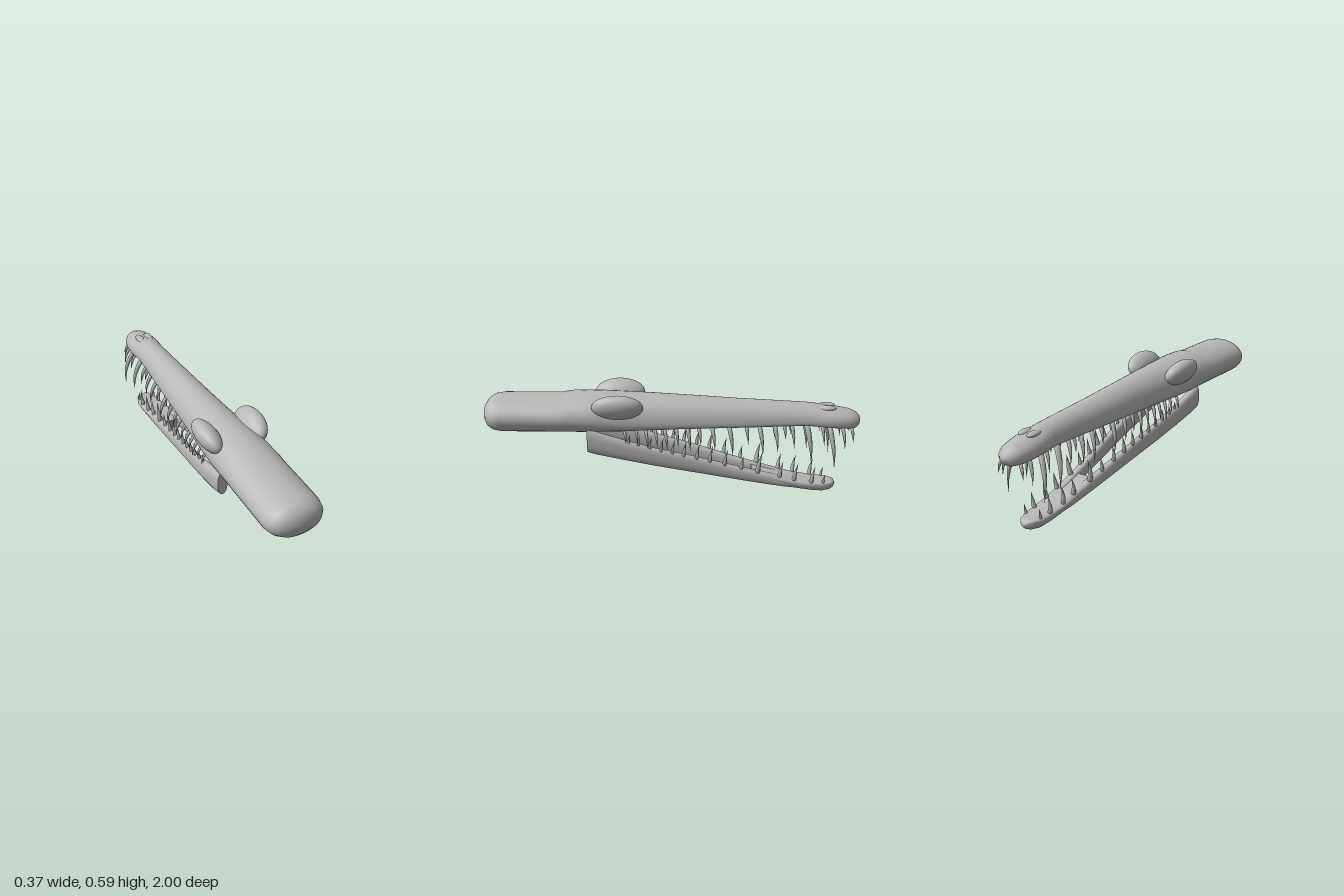
import * as THREE from 'three';
import { mergeVertices } from 'three/addons/utils/BufferGeometryUtils.js';

const bone = new THREE.MeshStandardMaterial({ color: 0xb8b8b8 });
bone.name = 'boneGrey';
const SIDES = 32;

// Skin a list of rings (arrays of Vector3, anticlockwise from +z, running toward -z) and cap the ends.
function loft(rings) {
  const pos = [], idx = [], n = SIDES;
  rings.forEach(r => r.forEach(p => pos.push(p.x, p.y, p.z)));
  for (let i = 0; i < rings.length - 1; i++)
    for (let j = 0; j < n; j++) {
      const a = i * n + j, b = i * n + (j + 1) % n;
      idx.push(a, a + n, b, b, a + n, b + n);
    }
  [rings[0], rings[rings.length - 1]].forEach((r, end) => {
    const start = pos.length / 3;
    const c = r.reduce((s, p) => s.add(p), new THREE.Vector3()).divideScalar(n);
    [...r, c].forEach(p => pos.push(p.x, p.y, p.z));
    for (let j = 0; j < n; j++) {
      const k = (j + 1) % n;
      idx.push(start + n, start + (end ? k : j), start + (end ? j : k));
    }
  });
  const g = new THREE.BufferGeometry();
  g.setAttribute('position', new THREE.Float32BufferAttribute(pos, 3));
  g.setIndex(idx);
  g.computeVertexNormals();
  return g;
}

const power = (v, e) => Math.sign(v) * Math.abs(v) ** (2 / e);

// Ring with separate roundness for upper and lower halves; hollow lifts the middle of the underside.
function ring(cx, z, halfWidth, top, mid, bottom, eTop = 2, eLow = 2, hollow = 0) {
  return Array.from({ length: SIDES }, (_, j) => {
    const a = j / SIDES * Math.PI * 2, up = Math.sin(a) >= 0, e = up ? eTop : eLow;
    const u = power(Math.cos(a), e), v = power(Math.sin(a), e);
    let y = mid + v * (up ? top - mid : mid - bottom);
    if (!up) y += hollow * Math.max(0, 1 - (u / 0.75) ** 2);
    return new THREE.Vector3(cx + u * halfWidth, y, z);
  });
}

// Linear lookup in rows sorted by falling z.
function sample(rows, z) {
  let i = 0;
  while (i < rows.length - 2 && rows[i + 1][0] > z) i++;
  const a = rows[i], b = rows[i + 1], t = (z - a[0]) / (b[0] - a[0]);
  return a.map((v, k) => v + (b[k] - v) * t);
}

function add(parent, name, geometry) {
  const m = new THREE.Mesh(geometry, bone);
  m.name = name;
  parent.add(m);
  return m;
}

// Curved pointed tooth from base to tip; bow pushes the middle sideways and lengthways.
function tooth(base, tip, radius, bowX, bowZ) {
  const g0 = new THREE.ConeGeometry(radius, 1, 8, 6, false);
  g0.translate(0, 0.5, 0);
  g0.deleteAttribute('uv');
  g0.deleteAttribute('normal');
  const g = mergeVertices(g0), p = g.attributes.position, down = tip.y < base.y;
  for (let i = 0; i < p.count; i++) {
    const t = p.getY(i), b = Math.sin(Math.PI * t);
    const swell = 1 + 0.35 * b;
    p.setXYZ(i,
      base.x + (tip.x - base.x) * t + bowX * b + p.getX(i) * swell,
      base.y + (tip.y - base.y) * t,
      base.z + (tip.z - base.z) * t + bowZ * b + p.getZ(i) * swell * (down ? -1 : 1));
  }
  g.computeVertexNormals();
  return g;
}

// z, half width, top, widest height, bottom, lower roundness, underside hollow
const skull = [
  [1, 0.012, 0.458, 0.452, 0.446, 2, 0],
  [0.994, 0.075, 0.5, 0.452, 0.405, 2, 0],
  [0.975, 0.118, 0.526, 0.452, 0.378, 2, 0],
  [0.945, 0.143, 0.543, 0.452, 0.362, 2, 0],
  [0.9, 0.154, 0.55, 0.452, 0.355, 2, 0],
  [0.6, 0.155, 0.55, 0.452, 0.355, 2, 0],
  [0.54, 0.154, 0.562, 0.452, 0.355, 2, 0],
  [0.45, 0.152, 0.566, 0.45, 0.357, 2.2, 0],
  [0.38, 0.149, 0.566, 0.445, 0.366, 2.6, 0.005],
  [0.25, 0.138, 0.563, 0.432, 0.374, 3, 0.012],
  [0.1, 0.125, 0.557, 0.425, 0.38, 3, 0.016],
  [-0.1, 0.112, 0.546, 0.422, 0.386, 3, 0.018],
  [-0.35, 0.099, 0.53, 0.422, 0.391, 3, 0.018],
  [-0.6, 0.085, 0.518, 0.425, 0.396, 3, 0.016],
  [-0.72, 0.079, 0.511, 0.427, 0.398, 3, 0.014],
  [-0.8, 0.088, 0.499, 0.428, 0.392, 3, 0.014],
  [-0.88, 0.084, 0.487, 0.425, 0.383, 3, 0.012],
  [-0.94, 0.072, 0.476, 0.421, 0.375, 2.6, 0.006],
  [-0.975, 0.054, 0.46, 0.418, 0.378, 2.2, 0],
  [-0.993, 0.03, 0.442, 0.417, 0.392, 2, 0],
  [-1, 0.005, 0.421, 0.417, 0.413, 2, 0],
];

// z, inner x, outer x, bottom, top
const ramus = [
  [0.447, 0.09, 0.145, 0.27, 0.405],
  [0.38, 0.088, 0.146, 0.252, 0.376],
  [0.25, 0.086, 0.138, 0.222, 0.334],
  [0.1, 0.078, 0.125, 0.187, 0.288],
  [-0.1, 0.062, 0.108, 0.144, 0.237],
  [-0.4, 0.033, 0.085, 0.08, 0.152],
  [-0.6, 0.015, 0.071, 0.042, 0.1],
  [-0.72, 0.01, 0.058, 0.025, 0.072],
];

// z, half width, top, bottom
const chin = [
  [-0.43, 0.076, 0.134, 0.074],
  [-0.55, 0.073, 0.108, 0.048],
  [-0.68, 0.07, 0.082, 0.02],
  [-0.76, 0.066, 0.072, 0.007],
  [-0.82, 0.06, 0.067, 0.002],
  [-0.86, 0.046, 0.066, 0.009],
  [-0.88, 0.03, 0.062, 0.02],
  [-0.89, 0.005, 0.046, 0.038],
];

// z of base, length, radius
const upperTeeth = [
  [-0.95, 0.06, 0.009], [-0.9, 0.1, 0.01], [-0.83, 0.215, 0.014], [-0.79, 0.09, 0.009],
  [-0.71, 0.2, 0.015], [-0.63, 0.11, 0.011], [-0.59, 0.06, 0.009], [-0.54, 0.13, 0.012],
  [-0.46, 0.145, 0.012], [-0.39, 0.08, 0.01], [-0.3, 0.145, 0.012], [-0.21, 0.11, 0.011],
  [-0.14, 0.08, 0.01], [-0.08, 0.11, 0.011], [-0.02, 0.08, 0.01], [0.04, 0.1, 0.01],
  [0.09, 0.08, 0.009], [0.14, 0.09, 0.009], [0.19, 0.06, 0.008], [0.25, 0.05, 0.008],
];
const lowerTeeth = [
  [-0.82, 0.05, 0.008], [-0.755, 0.09, 0.012], [-0.66, 0.1, 0.012], [-0.58, 0.09, 0.012],
  [-0.46, 0.12, 0.014], [-0.37, 0.07, 0.011], [-0.28, 0.09, 0.011], [-0.2, 0.09, 0.011],
  [-0.13, 0.085, 0.01], [-0.06, 0.085, 0.01], [0.0, 0.08, 0.009], [0.06, 0.075, 0.009],
  [0.12, 0.07, 0.008], [0.18, 0.055, 0.008], [0.23, 0.045, 0.007],
];

export function createModel() {
  const model = new THREE.Group();
  model.name = 'reptileHead';

  // Neck, cranium and long snout in one skin
  add(model, 'skullAndSnout', loft(skull.map(([z, w, top, mid, low, e, h]) =>
    ring(0, z, w, top, mid, low, 2, e, h))));

  // Lower jaw: joined tip
  const jaw = new THREE.Group();
  jaw.name = 'lowerJaw';
  model.add(jaw);
  add(jaw, 'jawTip', loft(chin.map(([z, w, top, low]) =>
    ring(0, z, w, top, low + (top - low) * 0.68, low, 3.5, 2))));

  for (const s of [1, -1]) {
    const side = s > 0 ? 'left' : 'right';

    // Jaw branch reaching back to the hinge
    add(jaw, side + 'JawBranch', loft(ramus.map(([z, a, b, low, top]) =>
      ring(s * (a + b) / 2, z, (b - a) / 2, top, (top + low) / 2, low, 2.6, 2.3))));

    // Bulging eye mound, leaning outward
    const eye = add(model, side + 'EyeMound', new THREE.SphereGeometry(1, 28, 20));
    eye.scale.set(0.055, 0.077, 0.135);
    eye.position.set(s * 0.122, 0.522, 0.285);
    eye.rotation.z = -s * 0.6;

    // Low nostril swelling
    const nostril = add(model, side + 'Nostril', new THREE.SphereGeometry(1, 16, 12));
    nostril.scale.set(0.022, 0.014, 0.045);
    nostril.position.set(s * 0.026, 0.49, -0.82);

    // Upper teeth splay outward and curve
    for (const [z, len, r] of upperTeeth) {
      const [, w, , , low] = sample(skull, z);
      const x = w * 0.84, splay = 0.012 + len * 0.13;
      add(model, side + 'UpperTooth', tooth(
        new THREE.Vector3(s * x, low + 0.015, z),
        new THREE.Vector3(s * (x + splay), low - len, z - len * 0.15),
        r, s * len * 0.09, -len * 0.03));
    }

    // Lower teeth stand on the jaw edge
    for (const [z, len, r] of lowerTeeth) {
      const top = z < -0.6 ? sample(chin, z)[2] : sample(ramus, z)[4];
      const row = sample(ramus, Math.max(z, -0.72));
      const x = z < -0.6 ? sample(chin, z)[1] * 0.72 : (row[1] + row[2]) / 2 + 0.006;
      add(jaw, side + 'LowerTooth', tooth(
        new THREE.Vector3(s * x, top - 0.014, z),
        new THREE.Vector3(s * (x + len * 0.06), top + len, z - len * 0.2),
        r, s * len * 0.06, len * 0.04));
    }
  }
  return model;
}
